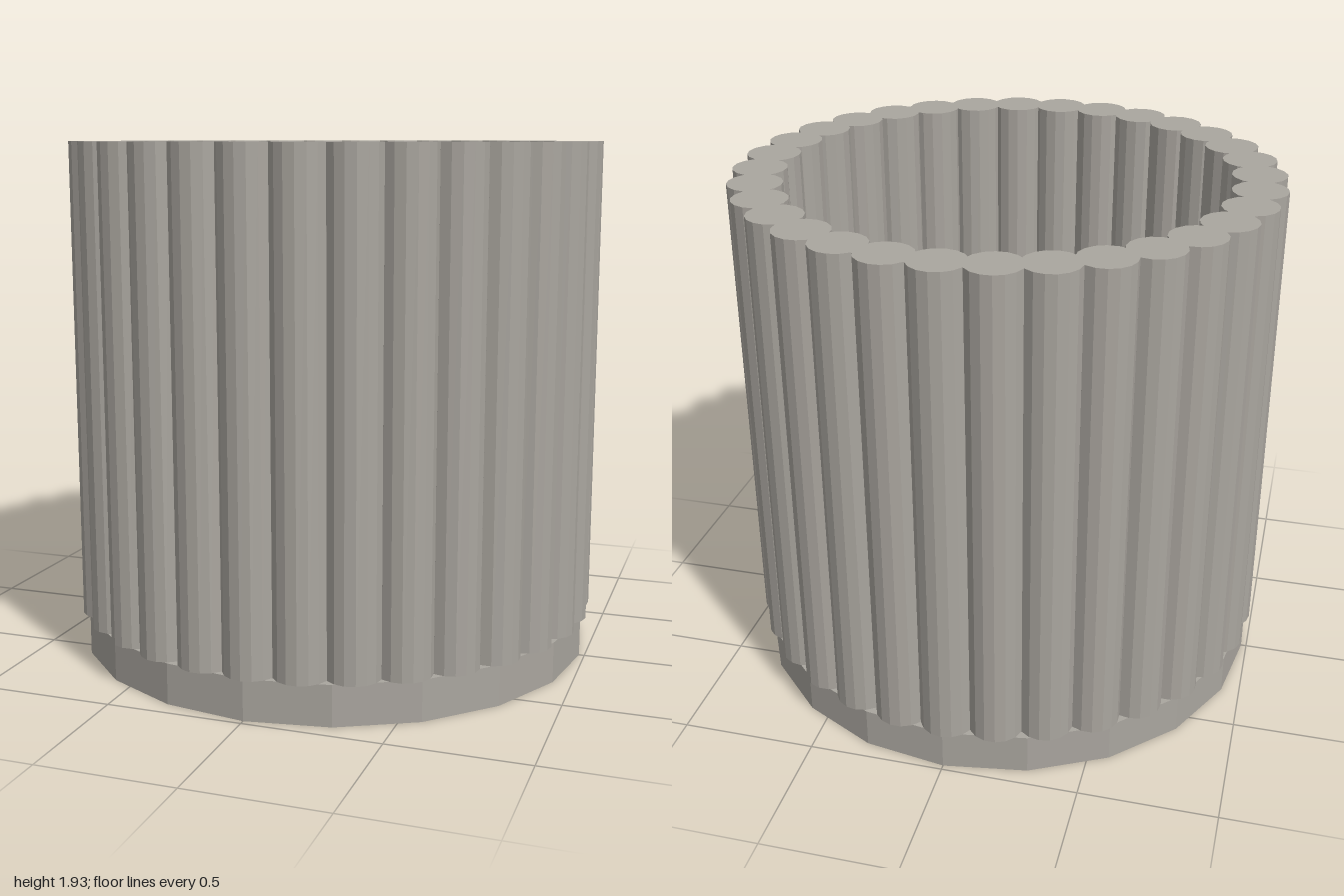
import * as THREE from 'three';

const BASE_HEIGHT = 0.15;
const TOTAL_HEIGHT = 1.93;
const ROD_COUNT = 32;
const ROD_RADIUS = 0.1;
const RING_RADIUS = 0.9;

export function createModel() {
  const model = new THREE.Group();
  model.name = 'flutedPot';

  const stone = new THREE.MeshStandardMaterial({ color: 0xaaa69f, flatShading: true });
  stone.name = 'warm grey stone';

  // Solid twenty-sided base, which is also the floor of the pot
  const base = new THREE.Mesh(new THREE.CylinderGeometry(0.98, 0.98, BASE_HEIGHT, 20), stone);
  base.name = 'base';
  base.position.y = BASE_HEIGHT / 2;
  model.add(base);

  // Wall: a ring of overlapping upright rods
  const wall = new THREE.Group();
  wall.name = 'wall';
  const rodHeight = TOTAL_HEIGHT - BASE_HEIGHT;
  const rodGeometry = new THREE.CylinderGeometry(ROD_RADIUS, ROD_RADIUS, rodHeight, 16);
  for (let i = 0; i < ROD_COUNT; i++) {
    const angle = (i / ROD_COUNT) * Math.PI * 2;
    const rod = new THREE.Mesh(rodGeometry, stone);
    rod.name = 'wallRod';
    rod.position.set(
      Math.sin(angle) * RING_RADIUS,
      BASE_HEIGHT + rodHeight / 2,
      Math.cos(angle) * RING_RADIUS
    );
    rod.rotation.y = angle;
    wall.add(rod);
  }
  model.add(wall);

  return model;
}
